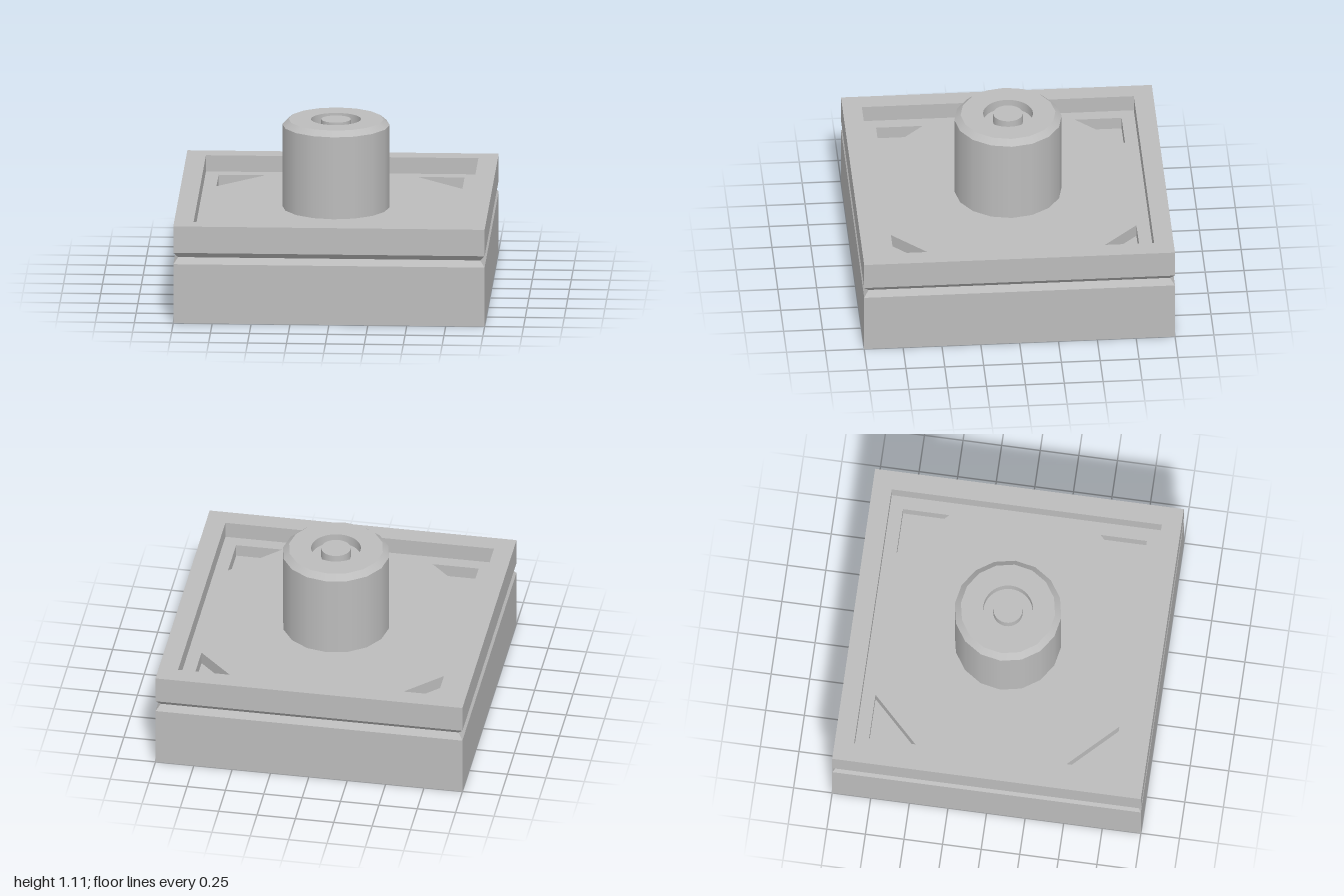
import * as THREE from 'three';

const FLOOR = 0.533, POCKET = 0.08, TOP = 1.11, RIM = 0.875;

export function createModel() {
  const model = new THREE.Group();
  model.name = 'squareBaseWithPost';
  const grey = new THREE.MeshStandardMaterial({ color: 0xbcbcbc });
  grey.name = 'grey';

  const add = (name, geometry, parent = model) => {
    const mesh = new THREE.Mesh(geometry, grey);
    mesh.name = name;
    parent.add(mesh);
    return mesh;
  };

  // One smooth band per profile segment, so every profile corner stays sharp
  const turned = (name, profile, sides) => {
    const group = new THREE.Group();
    group.name = name;
    const pts = profile.map(([r, y]) => new THREE.Vector2(r, y));
    for (let i = 0; i < pts.length - 1; i++) {
      add(name + 'Band' + (i + 1), new THREE.LatheGeometry([pts[i], pts[i + 1]], sides), group);
    }
    model.add(group);
  };

  // Square casing: bottom, grooved sides, rim and inner walls
  const casing = [[0, 0], [1, 0], [1, 0.39], [0.97, 0.43], [1, 0.465], [1, 0.64], [RIM, 0.64], [RIM, FLOOR]]
    .map(([r, y]) => new THREE.Vector2(r * Math.SQRT2, y));
  const casingGeometry = new THREE.LatheGeometry(casing, 4, Math.PI / 4).toNonIndexed();
  casingGeometry.computeVertexNormals();
  add('casing', casingGeometry);

  // Tray floor with a triangular pocket cut in each corner
  const floor = new THREE.Shape([[-1, -1], [1, -1], [1, 1], [-1, 1]]
    .map(([x, y]) => new THREE.Vector2(x * RIM, y * RIM)));
  for (const sx of [-1, 1]) {
    for (const sy of [-1, 1]) {
      floor.holes.push(new THREE.Path([[0.79, 0.79], [0.49, 0.79], [0.79, 0.49]]
        .map(([x, y]) => new THREE.Vector2(x * sx, y * sy))));
    }
  }
  const floorGeometry = new THREE.ExtrudeGeometry(floor, { depth: POCKET, bevelEnabled: false });
  add('trayFloor', floorGeometry.rotateX(-Math.PI / 2).translate(0, FLOOR - POCKET, 0));
  add('pocketFloor', new THREE.PlaneGeometry(2 * RIM, 2 * RIM)
    .rotateX(-Math.PI / 2).translate(0, FLOOR - POCKET, 0));

  // Sixteen-sided post with a chamfered top edge
  turned('post', [[0.345, FLOOR], [0.345, 1.075], [0.305, TOP]], 16);

  // Flat ring on top of the post
  const ring = new THREE.Shape();
  for (let i = 0; i < 16; i++) {
    const a = (i / 16) * Math.PI * 2;
    ring[i ? 'lineTo' : 'moveTo'](0.305 * Math.cos(a), 0.305 * Math.sin(a));
  }
  ring.closePath();
  ring.holes.push(new THREE.Path().absarc(0, 0, 0.16, 0, Math.PI * 2, true));
  add('postTop', new THREE.ShapeGeometry(ring, 20).rotateX(-Math.PI / 2).translate(0, TOP, 0));

  // Round recess with a central pin
  turned('recessAndPin', [[0.16, TOP], [0.16, 1.045], [0.095, 1.045], [0.095, TOP], [0, TOP]], 40);

  return model;
}
